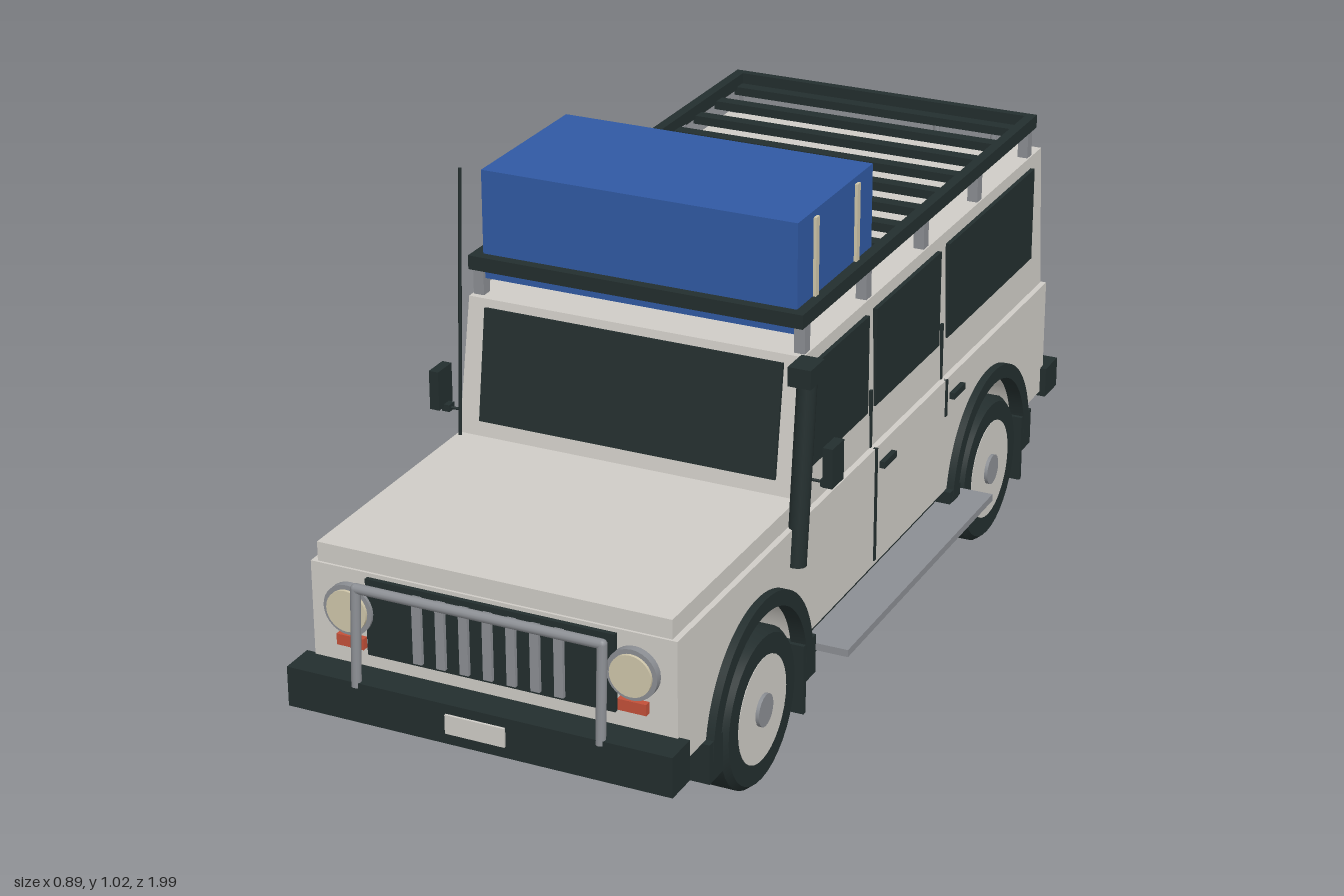
import * as THREE from 'three';
import { toCreasedNormals } from 'three/addons/utils/BufferGeometryUtils.js';

const mat = (name, color) => new THREE.MeshStandardMaterial({ name, color });

export function createModel() {
  const paint = mat('bodyPaint', 0xcfccc6);
  const dark = mat('darkTrim', 0x232e2e);
  const steel = mat('steel', 0x8b8e93);
  const blue = mat('blueCargo', 0x3059a3);
  const orange = mat('orangeRed', 0xc25039);
  const red = mat('tailRed', 0xb3261b);
  const green = mat('oliveGreen', 0x4b5638);
  const cream = mat('cream', 0xcfc6aa);

  const model = new THREE.Group();
  model.name = 'expeditionTruck';

  const add = (name, geo, m, parent = model) => {
    const mesh = new THREE.Mesh(geo, m);
    mesh.name = name;
    parent.add(mesh);
    return mesh;
  };
  // Box given by its minimum and maximum on each axis
  const box = (name, m, [x0, x1], [y0, y1], [z0, z1]) => {
    const b = add(name, new THREE.BoxGeometry(x1 - x0, y1 - y0, z1 - z0), m);
    b.position.set((x0 + x1) / 2, (y0 + y1) / 2, (z0 + z1) / 2);
    return b;
  };
  // The same box on both sides
  const pair = (name, m, [x0, x1], y, z) => {
    box(name + 'Left', m, [x0, x1], y, z);
    box(name + 'Right', m, [-x1, -x0], y, z);
  };
  // Round bar between two points
  const rod = (name, m, a, b, r, sides = 12) => {
    const p = new THREE.Vector3(...a), q = new THREE.Vector3(...b);
    const d = q.clone().sub(p);
    const c = add(name, new THREE.CylinderGeometry(r, r, d.length(), sides), m);
    c.position.copy(p).add(q).multiplyScalar(0.5);
    c.quaternion.setFromUnitVectors(new THREE.Vector3(0, 1, 0), d.normalize());
    return c;
  };
  // Side profile (z, y) extruded across x, centred
  const acrossX = (shape, width) => new THREE.ExtrudeGeometry(shape, { depth: width, bevelEnabled: false, curveSegments: 28 })
    .rotateY(-Math.PI / 2).translate(width / 2, 0, 0);

  const axles = [0.595, -0.55];

  // Lower body with open wheel arches
  const profile = new THREE.Shape();
  const a = Math.asin(0.2);
  profile.moveTo(-0.89, 0.2);
  for (const z of [...axles].reverse()) {
    profile.lineTo(z - 0.2 * Math.cos(a), 0.2);
    profile.absarc(z, 0.16, 0.2, Math.PI - a, a, true);
  }
  profile.lineTo(0.925, 0.2);
  profile.lineTo(0.925, 0.45);
  profile.lineTo(-0.89, 0.45);
  add('lowerBody', toCreasedNormals(acrossX(profile, 0.734), 0.5), paint);
  box('bonnet', paint, [-0.355, 0.355], [0.45, 0.488], [0.37, 0.92]);

  // Cabin, narrowing upward with a raked front
  const cabin = new THREE.BoxGeometry(2, 1, 2);
  const p = cabin.attributes.position;
  for (let i = 0; i < p.count; i++) {
    const top = p.getY(i) > 0, front = p.getZ(i) > 0;
    p.setXYZ(i, p.getX(i) * (top ? 0.347 : 0.355), top ? 0.757 : 0.45,
      front ? (top ? 0.355 : 0.4) : (top ? -0.88 : -0.887));
  }
  cabin.computeVertexNormals();
  add('cabin', cabin, paint);

  // Glass
  const screen = add('windscreen', new THREE.BoxGeometry(0.62, 0.224, 0.009), dark);
  screen.position.set(0, 0.63, 0.376);
  screen.rotation.x = -Math.atan(0.147);
  for (const z of [[0.067, 0.335], [-0.297, 0.03], [-0.818, -0.34]]) pair('sideWindow', dark, [0.348, 0.357], [0.53, 0.732], z);
  box('rearWindow', dark, [-0.3, 0.3], [0.54, 0.725], [-0.891, -0.882]);

  // Door seams and handles
  for (const [z, low] of [[0.048, 0.21], [-0.315, 0.37]]) {
    pair('doorSeam', dark, [0.362, 0.37], [low, 0.45], [z - 0.004, z + 0.004]);
    pair('doorSeamUpper', dark, [0.349, 0.357], [0.45, 0.57], [z - 0.004, z + 0.004]);
    pair('doorHandle', dark, [0.366, 0.378], [0.4, 0.414], [z - 0.08, z - 0.02]);
  }

  // Underbody, sills and side steps
  box('chassis', dark, [-0.265, 0.265], [0.12, 0.205], [-0.785, 0.83]);
  pair('sill', dark, [0.26, 0.35], [0.12, 0.205], [-0.394, 0.383]);
  pair('sideStep', steel, [0.345, 0.443], [0.159, 0.174], [-0.4, 0.35]);

  // Wheels: axis along x, outside toward +x
  const tyreGeo = toCreasedNormals(new THREE.LatheGeometry([[0.09, -0.057], [0.145, -0.057], [0.155, -0.045], [0.155, 0.045],
    [0.145, 0.057], [0.1, 0.057]].map(([r, y]) => new THREE.Vector2(r, y)), 36).rotateZ(-Math.PI / 2), 0.5);
  const makeWheel = (name) => {
    const g = new THREE.Group();
    g.name = name;
    add('tyre', tyreGeo, dark, g);
    add('rim', new THREE.CylinderGeometry(0.105, 0.105, 0.116, 32).rotateZ(-Math.PI / 2), paint, g);
    add('hubCap', new THREE.CylinderGeometry(0.032, 0.032, 0.02, 20).rotateZ(-Math.PI / 2), steel, g).position.x = 0.055;
    model.add(g);
    return g;
  };
  const flare = new THREE.Shape();
  flare.absarc(0, 0, 0.22, 0, Math.PI, false);
  flare.absarc(0, 0, 0.19, Math.PI, 0, true);
  const flareGeo = toCreasedNormals(acrossX(flare, 0.032), 0.5);
  for (const z of axles) {
    rod('axle', dark, [-0.28, 0.155, z], [0.28, 0.155, z], 0.03);
    for (const s of [1, -1]) {
      const w = makeWheel('wheel');
      w.position.set(s * 0.321, 0.155, z);
      if (s < 0) w.rotation.y = Math.PI;
      add('archFlare', flareGeo, dark).position.set(s * 0.367, 0.16, z);
    }
    for (const e of [-0.205, 0.205]) pair('flareEnd', dark, [0.335, 0.382], [0.12, 0.2], [z + e - 0.028, z + e + 0.028]);
    pair('mudFlap', dark, [0.27, 0.375], [0.045, 0.2], [z - 0.205, z - 0.195]);
  }

  // Spare wheel on the tail
  const spare = makeWheel('spareWheel');
  spare.scale.set(0.78, 0.93, 0.93);
  spare.rotation.y = Math.PI / 2;
  spare.position.set(-0.145, 0.44, -0.948);

  // Bumpers, plate and lamps
  box('frontBumper', dark, [-0.388, 0.388], [0.18, 0.26], [0.92, 0.99]);
  box('rearBumper', dark, [-0.38, 0.38], [0.19, 0.255], [-0.945, -0.875]);
  box('numberPlate', paint, [-0.06, 0.06], [0.203, 0.241], [0.987, 0.995]);
  pair('tailLamp', red, [0.322, 0.354], [0.325, 0.42], [-0.903, -0.885]);
  pair('indicator', orange, [0.256, 0.312], [0.298, 0.32], [0.92, 0.938]);
  for (const s of [1, -1]) {
    rod('headlampRim', steel, [s * 0.285, 0.374, 0.92], [s * 0.285, 0.374, 0.94], 0.05, 28);
    rod('headlampLens', cream, [s * 0.285, 0.374, 0.925], [s * 0.285, 0.374, 0.946], 0.041, 28);
  }

  // Grille
  box('grille', dark, [-0.25, 0.25], [0.289, 0.442], [0.92, 0.934]);
  for (let i = -3; i <= 3; i++) box('grilleSlat', steel, [i * 0.0475 - 0.009, i * 0.0475 + 0.009], [0.297, 0.431], [0.93, 0.942]);

  // Bull bar
  const bar = new THREE.CurvePath();
  const v = (x, y, z) => new THREE.Vector3(x, y, z);
  const points = [v(-0.246, 0.25, 0.984), v(-0.246, 0.442, 0.973), v(0.246, 0.442, 0.973), v(0.246, 0.25, 0.984)];
  for (let i = 0; i < 3; i++) bar.add(new THREE.LineCurve3(points[i], points[i + 1]));
  bar.curves.forEach((c) => rod('bullBar', steel, c.v1.toArray(), c.v2.toArray(), 0.0095));
  for (const q of [points[1], points[2]]) add('bullBarCorner', new THREE.SphereGeometry(0.0095, 12, 8), steel).position.copy(q);

  // Mirrors
  pair('mirror', dark, [0.402, 0.422], [0.52, 0.6], [0.335, 0.388]);
  pair('mirrorFoot', dark, [0.39, 0.406], [0.512, 0.526], [0.35, 0.37]);
  for (const s of [1, -1]) rod('mirrorArm', dark, [s * 0.35, 0.518, 0.36], [s * 0.4, 0.518, 0.36], 0.003, 8);

  // Snorkel and aerial
  rod('snorkelPipe', dark, [0.372, 0.375, 0.433], [0.372, 0.735, 0.393], 0.019, 16);
  box('snorkelHead', dark, [0.349, 0.395], [0.73, 0.768], [0.368, 0.43]);
  rod('aerial', dark, [-0.347, 0.45, 0.408], [-0.347, 1.022, 0.376], 0.0035, 8);

  // Ladder
  for (const x of [0.1, 0.23]) rod('ladderRail', steel, [x, 0.25, -0.905], [x, 0.812, -0.905], 0.007);
  for (let i = 0; i < 6; i++) rod('ladderRung', steel, [0.1, 0.29 + i * 0.099, -0.905], [0.23, 0.29 + i * 0.099, -0.905], 0.006);

  // Roof rack
  pair('rackRail', dark, [0.325, 0.346], [0.812, 0.84], [-0.85, 0.357]);
  box('rackFrontBar', dark, [-0.346, 0.346], [0.812, 0.84], [0.336, 0.357]);
  box('rackRearBar', dark, [-0.346, 0.346], [0.812, 0.84], [-0.85, -0.832]);
  for (let i = 0; i < 12; i++) {
    const z = -0.815 + i * 0.103;
    box('rackSlat', dark, [-0.33, 0.33], [0.8, 0.818], [z - 0.014, z + 0.014]);
  }
  for (let i = 0; i < 5; i++) {
    const z = 0.33 - i * 0.287;
    pair('rackPost', steel, [0.322, 0.344], [0.75, 0.815], [z - 0.012, z + 0.012]);
  }

  // Cargo
  box('cargoBox', blue, [-0.325, 0.325], [0.79, 1.008], [-0.01, 0.335]);
  for (const z of [0.258, 0.068]) pair('cargoStrap', cream, [0.323, 0.331], [0.8, 0.995], [z - 0.007, z + 0.007]);
  rod('redRoll', orange, [-0.305, 0.878, -0.072], [-0.055, 0.878, -0.072], 0.061, 28);
  rod('greenRoll', green, [0.05, 0.867, -0.066], [0.272, 0.867, -0.066], 0.054, 28);

  return model;
}
